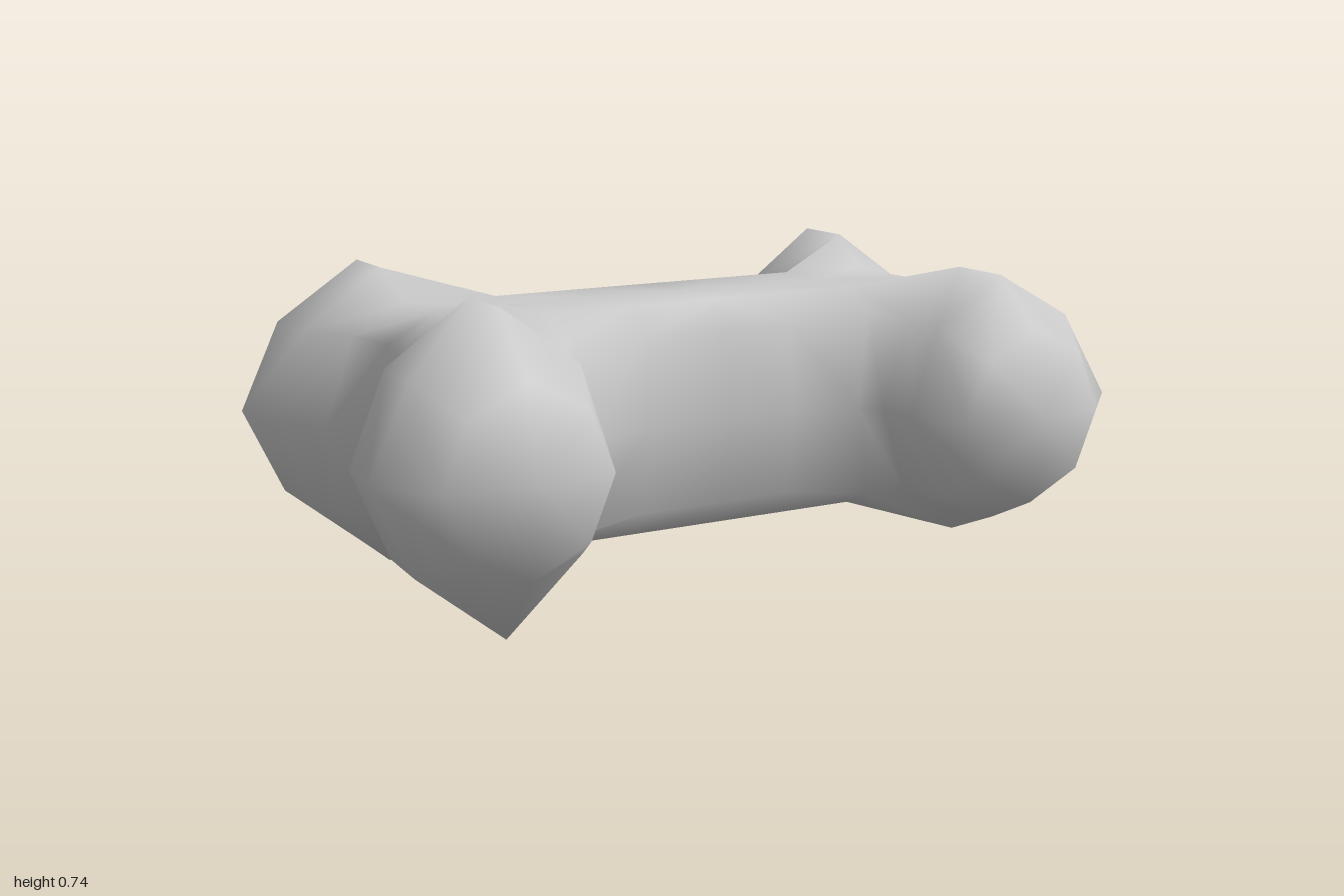
import * as THREE from 'three';
import { mergeVertices } from 'three/addons/utils/BufferGeometryUtils.js';

// Each row is five points running from the top edge to the bottom edge.
const row = (us, ys, vs) => us.map((u, i) => [u, ys[i], Array.isArray(vs) ? vs[i] : vs]);
const sym = (a, b, c) => [a, b, c, b, a];

// One quarter of the bone: half the shaft plus one knob, mirrored by signs sx and sz.
function addQuarter(out, sx, sz) {
  const shift = sx > 0 ? 0.035 : 0; // the left end is slightly shorter
  const corner = sx > 0 && sz > 0; // this knob is a little flatter
  const low = sx > 0 ? 0.03 : 0;
  const high = corner ? 0.715 : 0.74;
  const grow = corner ? 0.035 : 0;
  const knobY = [high, 0.6, 0.385, 0.17, low];
  const foreY = [high, 0.6, 0.385, 0.17, corner ? 0.1 : low];
  const capY = [0.6, 0.53, 0.385, 0.24, 0.17];
  const shaftY = [0.667, 0.6, 0.385, 0.17, 0.105];
  const shaftZ = sym(0.15, 0.205, sz > 0 ? 0.24 : 0.225);

  // shaft rows, ending in a collar where the knob begins to swell
  const middle = row(sym(0, 0, 0), shaftY, shaftZ);
  const neck = row(sym(0.22, 0.22, 0.22), shaftY, shaftZ);
  const collar = row(sym(0.44, 0.43, 0.38), [0.667, 0.62, 0.385, 0.15, 0.105], sym(0.15, 0.245, 0.28));
  // hollow between the two knobs of one end
  const hollow0 = row(sym(0.66, 0.78, 0.85), shaftY, 0);
  const hollow1 = row(sym(0.67, 0.81, 0.885), [0.667, 0.6, 0.385, 0.17, corner ? 0.03 : 0.105], 0.15);
  // knob rows, outer half and inner half
  const outA = row([0.69, 0.89, 0.98 + grow, 0.89, 0.69], knobY, 0.27);
  const inA = row(sym(0.69, 0.49, 0.405), knobY, sym(0.27, 0.33, 0.355));
  const outB = row([0.69, 0.9, 1 + grow, 0.9, 0.69], foreY, 0.435);
  const inB = row(sym(0.69, 0.5, 0.43), foreY, 0.435);
  const outC = row(sym(0.69, 0.83, 0.89), capY, 0.578);
  const inC = row(sym(0.69, 0.55, 0.49), capY, 0.578);
  const pole = row(sym(0.69, 0.69, 0.69), sym(0.385, 0.385, 0.385), 0.625);

  const put = ([u, y, v]) => out.push(sx * (u === 0 ? 0 : u - shift), y, sz * v);
  const tri = (a, b, c) => (sx * sz > 0 ? [a, b, c] : [a, c, b]).forEach(put);
  const quad = (a, b, c, d) => { tri(a, b, c); tri(a, c, d); };
  const strip = (rows, outer) => {
    for (let r = 0; r < rows.length - 1; r++) {
      for (let k = 0; k < 4; k++) {
        const a = rows[r][k], b = rows[r][k + 1], c = rows[r + 1][k + 1], d = rows[r + 1][k];
        const cap = rows[r + 1] === pole;
        if (cap) outer ? tri(a, c, b) : tri(a, b, c);
        else outer ? quad(a, d, c, b) : quad(a, b, c, d);
      }
    }
  };
  strip([hollow0, hollow1, outA, outB, outC, pole], true);
  strip([middle, neck, collar, inA, inB, inC, pole], false);

  // flat top and underside along the centre
  const flat = (k, up) => {
    const centre = (u) => [u, shaftY[k], 0];
    const c0 = centre(0), c1 = centre(0.22), c2 = centre(0.44);
    const faces = [
      [c0, middle[k], neck[k], c1],
      [c1, neck[k], collar[k], c2],
      [c2, collar[k], hollow1[k], hollow0[k]],
    ];
    faces.forEach((f) => quad(...(up ? f : f.reverse())));
    if (up) tri(collar[k], outA[k], hollow1[k]);
    else tri(collar[k], hollow1[k], outA[k]);
  };
  flat(0, true);
  flat(4, false);
}

export function createModel() {
  const group = new THREE.Group();
  group.name = 'bone';
  const points = [];
  for (const sx of [-1, 1]) for (const sz of [-1, 1]) addQuarter(points, sx, sz);

  let geometry = new THREE.BufferGeometry();
  geometry.setAttribute('position', new THREE.Float32BufferAttribute(points, 3));
  geometry = mergeVertices(geometry, 1e-4); // weld the quarters for smooth shading
  geometry.computeVertexNormals();

  const body = new THREE.Mesh(geometry, new THREE.MeshStandardMaterial({ color: 0xcccccc }));
  body.name = 'boneBody';
  group.add(body);
  return group;
}
